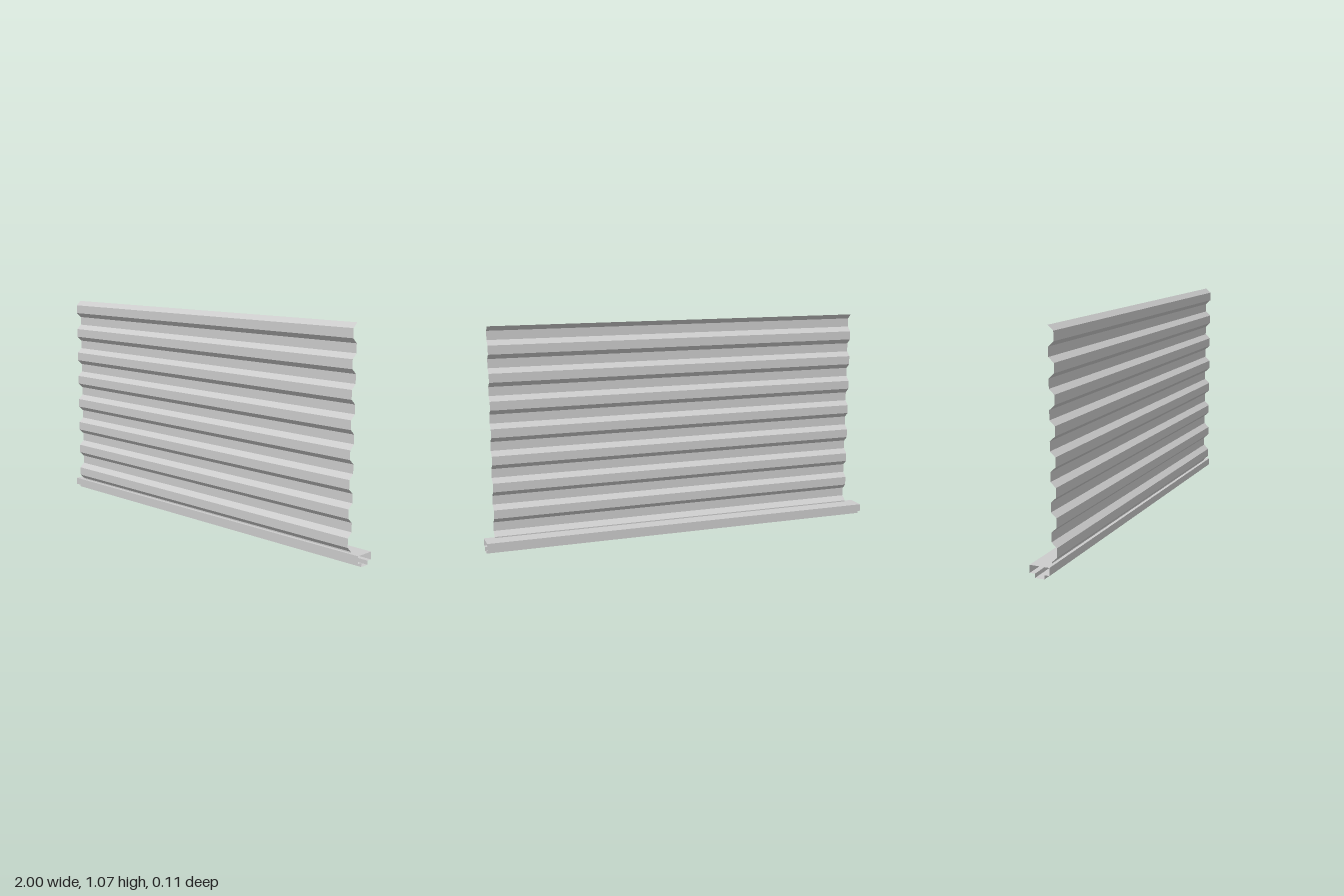
import * as THREE from 'three';

const metal = new THREE.MeshStandardMaterial({ color: 0xcccccc, side: THREE.DoubleSide });

// Folded sheet: sweeps a [z, y] profile along x, with a sharp crease at each fold
function foldedSheet(name, profile, halfWidth) {
  const positions = [];
  for (let i = 0; i < profile.length - 1; i++) {
    const [z0, y0] = profile[i];
    const [z1, y1] = profile[i + 1];
    const a = [-halfWidth, y0, z0], b = [-halfWidth, y1, z1];
    const c = [halfWidth, y1, z1], d = [halfWidth, y0, z0];
    positions.push(...a, ...b, ...c, ...a, ...c, ...d);
  }
  const geometry = new THREE.BufferGeometry();
  geometry.setAttribute('position', new THREE.Float32BufferAttribute(positions, 3));
  geometry.computeVertexNormals();
  const mesh = new THREE.Mesh(geometry, metal);
  mesh.name = name;
  return mesh;
}

export function createModel() {
  const group = new THREE.Group();
  group.name = 'corrugatedPanel';

  // Corrugated sheet: eight trapezoidal ribs, from the top down
  const top = 1.07, pitch = 0.1315, ribs = 8;
  const back = 0.025, front = 0.05, railTop = 0.055;
  const wave = [];
  for (let i = 0; i < ribs; i++) {
    const y = top - i * pitch;
    wave.push([back, y], [front, y - 0.023], [front, y - 0.066], [back, y - 0.089]);
  }
  wave.push([back, railTop]);
  group.add(foldedSheet('corrugatedSheet', wave, 0.95));

  // Bottom rail: open-ended channel with a narrower stepped foot
  const rail = [
    [0.04, railTop], [0.04, 0.019], [0.015, 0.019], [0.015, 0],
    [-0.03, 0], [-0.03, 0.019], [-0.055, 0.019], [-0.055, railTop], [0.04, railTop],
  ];
  group.add(foldedSheet('bottomRail', rail, 1));

  return group;
}
